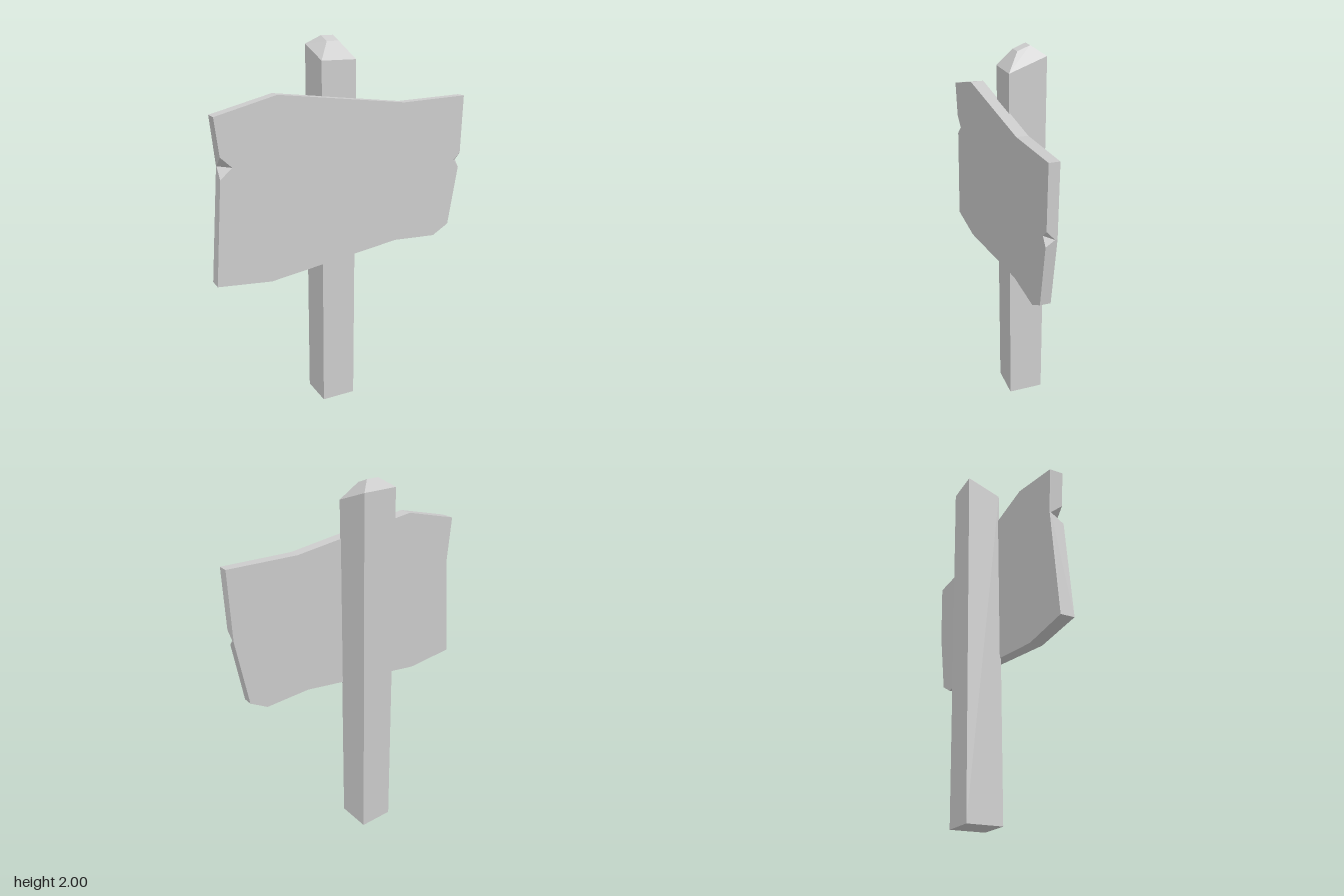
import * as THREE from 'three';

const material = new THREE.MeshStandardMaterial({ color: 0xcccccc, flatShading: true });

// Skin a stack of rings (counter-clockwise seen from the last one) and close both ends.
function loft(name, rings, flatten) {
  const pos = [];
  const tri = (a, b, c) => {
    const area = new THREE.Triangle(a, b, c).getArea();
    if (area > 1e-8) for (const p of [a, b, c]) pos.push(p.x, p.y, p.z);
  };
  for (let r = 0; r < rings.length - 1; r++) {
    const A = rings[r], B = rings[r + 1], n = A.length;
    for (let i = 0; i < n; i++) {
      const j = (i + 1) % n;
      tri(A[i], A[j], B[j]);
      tri(A[i], B[j], B[i]);
    }
  }
  const cap = (ring, flip) => {
    const pts = ring.filter((p, i) => i === 0 || p.distanceTo(ring[i - 1]) > 1e-5);
    for (const [a, b, c] of THREE.ShapeUtils.triangulateShape(pts.map(flatten), [])) {
      if (flip) tri(pts[a], pts[c], pts[b]);
      else tri(pts[a], pts[b], pts[c]);
    }
  };
  cap(rings[0], true);
  cap(rings[rings.length - 1], false);

  const geometry = new THREE.BufferGeometry();
  geometry.setAttribute('position', new THREE.Float32BufferAttribute(pos, 3));
  geometry.computeVertexNormals();
  const mesh = new THREE.Mesh(geometry, material);
  mesh.name = name;
  return mesh;
}

// Square post with a sloping, chamfered top
function createPost() {
  const ring = (x0, x1, zBack, zFront, yBack, yFront) => [
    new THREE.Vector3(x0, yFront, zFront),
    new THREE.Vector3(x1, yFront, zFront),
    new THREE.Vector3(x1, yBack, zBack),
    new THREE.Vector3(x0, yBack, zBack),
  ];
  const rings = [
    ring(-0.115, 0.075, -0.127, 0.064, 0, 0),
    ring(-0.115, 0.075, -0.127, 0.064, 1.957, 1.888),
    ring(-0.055, 0.011, -0.065, 0, 2, 1.975),
  ];
  return loft('post', rings, p => new THREE.Vector2(p.x, -p.z));
}

// Worn plank: each point is front x, y, and where it lands on the back if different
function createBoard() {
  const rightChip = [0.704, 1.318], leftChip = [-0.667, 1.425];
  const outline = [
    [-0.715, 0.84], [-0.43, 0.815], [0.3, 0.918], [0.55, 0.905], [0.645, 0.96],
    [0.697, 1.284, ...rightChip], [0.665, 1.326, ...rightChip], [0.704, 1.363, ...rightChip],
    [0.71, 1.677], [0.33, 1.665], [-0.375, 1.748], [-0.69, 1.668],
    [-0.669, 1.48, ...leftChip], [-0.611, 1.425, ...leftChip], [-0.673, 1.372, ...leftChip],
  ];
  // The plank is slightly thicker toward its right end
  const zAt = (x, left, right) => THREE.MathUtils.mapLinear(x, -0.715, 0.71, left, right);
  const ring = (left, right, front) => outline.map(([x, y, bx = x, by = y]) => {
    const px = front ? x : bx, py = front ? y : by;
    return new THREE.Vector3(px, py, zAt(px, left, right));
  });
  const rings = [
    ring(0.053, 0.063, false),
    ring(0.06, 0.074, false), // depth reached by the edge chips
    ring(0.127, 0.115, true),
  ];
  return loft('board', rings, p => new THREE.Vector2(p.x, p.y));
}

export function createModel() {
  const group = new THREE.Group();
  group.name = 'signpost';
  group.add(createPost(), createBoard());
  return group;
}
